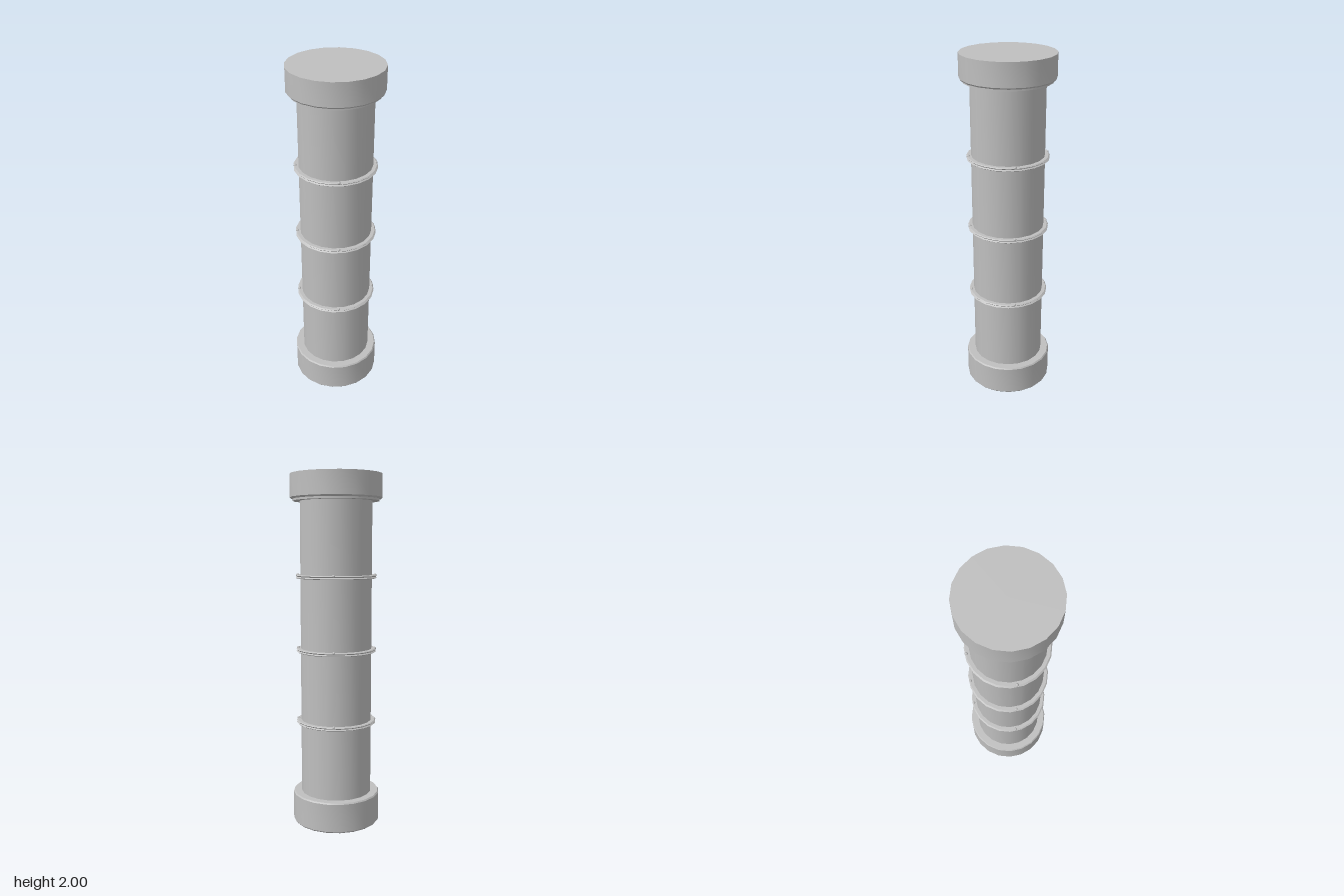
import * as THREE from 'three';
import { toCreasedNormals } from 'three/addons/utils/BufferGeometryUtils.js';

const SIDES = 20;

export function createModel() {
  const column = new THREE.Group();
  column.name = 'column';
  const stone = new THREE.MeshStandardMaterial({ color: 0xbfbfbf });
  stone.name = 'grey stone';

  // Turned part from [radius, height] pairs, listed bottom to top
  function turned(name, profile, y = 0) {
    const points = profile.map(([r, h]) => new THREE.Vector2(r, h));
    const geometry = toCreasedNormals(new THREE.LatheGeometry(points, SIDES), 0.5);
    const mesh = new THREE.Mesh(geometry, stone);
    mesh.name = name;
    mesh.position.y = y;
    column.add(mesh);
  }

  // Base drum with softened rims
  turned('base', [[0, 0], [0.245, 0], [0.252, 0.008], [0.252, 0.17], [0.246, 0.177], [0, 0.177]]);

  // Plain shaft
  turned('shaft', [[0.204, 0.17], [0.204, 1.87]]);

  // Top drum with a narrow stepped collar under it
  turned('capitalCollar', [[0, 1.853], [0.245, 1.853], [0.245, 1.866]]);
  turned('capital', [[0, 1.864], [0.253, 1.864], [0.26, 1.872], [0.26, 2], [0, 2]]);

  // Three thin grooved bands, each with four small studs
  const studGeometry = new THREE.SphereGeometry(0.009, 8, 6);
  for (const y of [0.597, 1.015, 1.434]) {
    turned('band', [
      [0.2, -0.01], [0.224, -0.01], [0.23, -0.006], [0.224, 0],
      [0.23, 0.006], [0.224, 0.01], [0.2, 0.01],
    ], y);
    for (let i = 0; i < 4; i++) {
      const angle = Math.PI / 4 + i * Math.PI / 2;
      const stud = new THREE.Mesh(studGeometry, stone);
      stud.name = 'bandStud';
      stud.position.set(Math.cos(angle) * 0.22, y + 0.009, Math.sin(angle) * 0.22);
      column.add(stud);
    }
  }

  return column;
}
